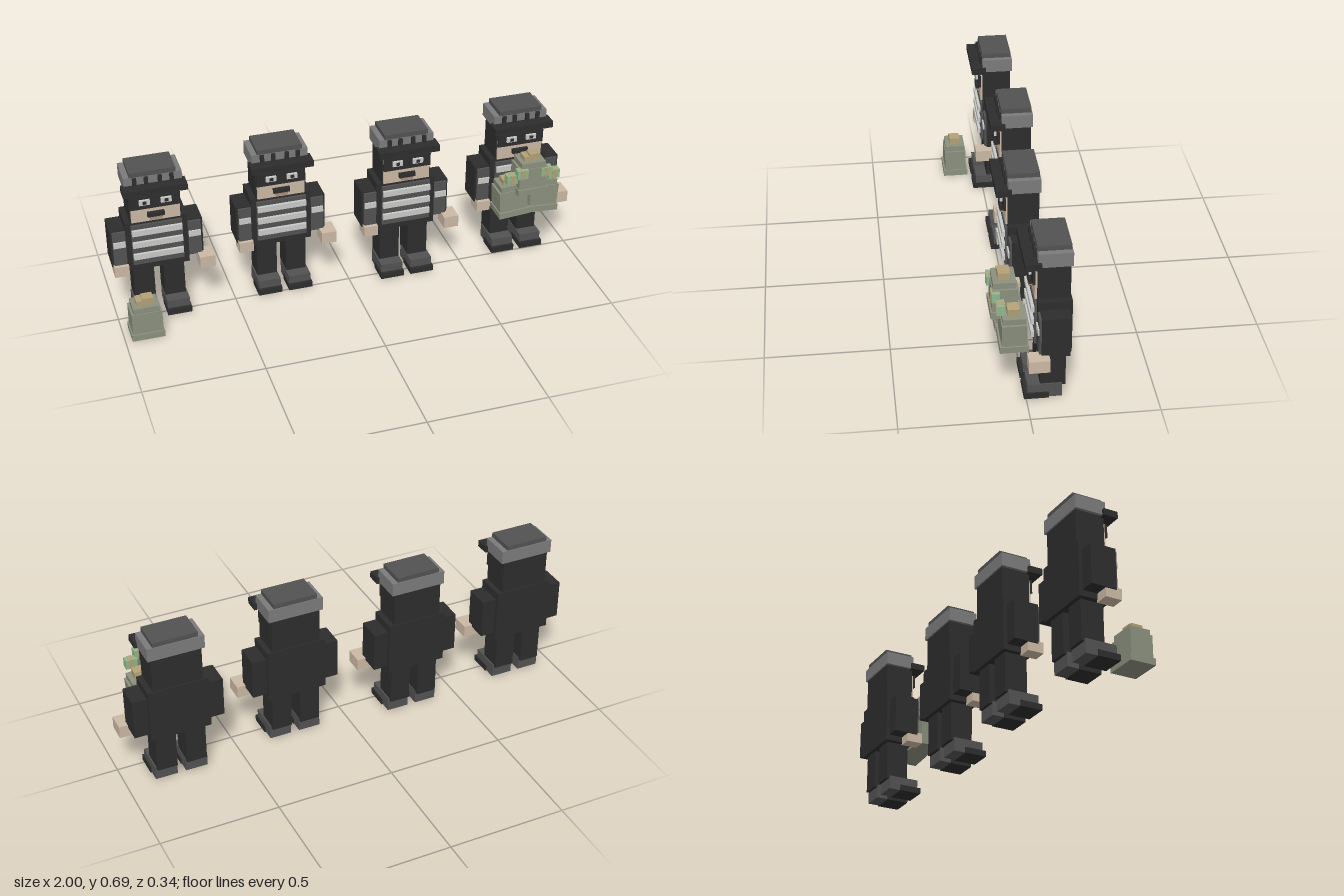
import * as THREE from 'three';

const mat = (name, color) => new THREE.MeshStandardMaterial({ name, color });

export function createModel() {
  const black = mat('black cloth', 0x2d2d2d);
  const darkGrey = mat('dark grey', 0x525252);
  const grey = mat('hat grey', 0x7b7b7b);
  const white = mat('stripe white', 0xc9cbc8);
  const skin = mat('skin', 0xcbb8a4);
  const lip = mat('lip', 0xa88f78);
  const sack = mat('sack', 0x8b907e);
  const gold = mat('gold', 0xb3a177);
  const cash = mat('cash green', 0x90b68c);

  // box from its extents on each axis
  const box = (parent, name, m, x0, x1, y0, y1, z0, z1) => {
    const mesh = new THREE.Mesh(new THREE.BoxGeometry(x1 - x0, y1 - y0, z1 - z0), m);
    mesh.position.set((x0 + x1) / 2, (y0 + y1) / 2, (z0 + z1) / 2);
    mesh.name = name;
    parent.add(mesh);
    return mesh;
  };
  // box centred on x = 0
  const wide = (parent, name, m, w, ...yz) => box(parent, name, m, -w, w, ...yz);
  // the same box on one side
  const side = (parent, name, m, s, a, b, ...yz) =>
    box(parent, name, m, Math.min(s * a, s * b), Math.max(s * a, s * b), ...yz);

  function createRobber() {
    const g = new THREE.Group();

    // torso and striped shirt
    wide(g, 'torso', black, 0.128, 0.23, 0.46, -0.167, -0.037);
    wide(g, 'shirtFront', darkGrey, 0.105, 0.26, 0.445, -0.04, -0.027);
    for (const y of [0.29, 0.346, 0.402])
      wide(g, 'shirtStripe', white, 0.103, y, y + 0.025, -0.03, -0.015);

    // head and masked face
    wide(g, 'head', black, 0.105, 0.46, 0.61, -0.162, -0.037);
    wide(g, 'face', skin, 0.1, 0.46, 0.58, -0.04, -0.028);
    wide(g, 'mask', black, 0.102, 0.523, 0.58, -0.03, -0.02);
    wide(g, 'moustache', black, 0.035, 0.484, 0.504, -0.03, -0.014);
    wide(g, 'mouth', lip, 0.025, 0.471, 0.484, -0.03, -0.014);

    // hat
    wide(g, 'hatBand', grey, 0.118, 0.607, 0.665, -0.168, -0.037);
    wide(g, 'hatTop', darkGrey, 0.094, 0.665, 0.685, -0.165, -0.037);
    wide(g, 'hatBrim', black, 0.13, 0.602, 0.63, -0.05, 0.012);
    for (const x of [-0.075, -0.028, 0.028, 0.075])
      box(g, 'hatStud', black, x - 0.008, x + 0.008, 0.632, 0.663, -0.038, -0.026);

    for (const s of [-1, 1]) {
      side(g, 'eye', white, s, 0.022, 0.066, 0.546, 0.568, -0.022, -0.01);
      box(g, 'pupil', black, s * 0.044 - 0.008, s * 0.044 + 0.008, 0.55, 0.564, -0.012, -0.008);
      // arms
      side(g, 'arm', black, s, 0.125, 0.19, 0.255, 0.425, -0.153, -0.045);
      side(g, 'sleeveFront', darkGrey, s, 0.128, 0.182, 0.262, 0.42, -0.047, -0.036);
      side(g, 'sleeveStripe', white, s, 0.13, 0.18, 0.35, 0.376, -0.042, -0.03);
      // legs and shoes
      side(g, 'leg', black, s, 0.02, 0.106, 0.06, 0.235, -0.15, -0.052);
      side(g, 'shoe', darkGrey, s, 0.018, 0.112, 0.01, 0.07, -0.137, -0.003);
      side(g, 'shoeToe', black, s, 0.015, 0.117, 0.008, 0.034, -0.086, 0.01);
    }
    // hands
    box(g, 'leftHand', skin, 0.163, 0.227, 0.213, 0.265, -0.073, 0.007);
    box(g, 'rightHand', skin, -0.185, -0.125, 0.218, 0.265, -0.09, -0.02);
    return g;
  }

  // money sack standing on its origin
  function createSack() {
    const g = new THREE.Group();
    wide(g, 'sackBase', sack, 0.068, 0, 0.028, -0.055, 0.055);
    wide(g, 'sackBody', sack, 0.063, 0.003, 0.123, -0.048, 0.048);
    wide(g, 'sackNeck', sack, 0.054, 0.123, 0.148, -0.044, 0.044);
    box(g, 'goldBarLow', gold, -0.036, 0.02, 0.146, 0.17, -0.024, 0.024);
    box(g, 'goldBarHigh', gold, -0.012, 0.034, 0.146, 0.179, -0.018, 0.024);
    return g;
  }

  const model = new THREE.Group();
  model.name = 'robberGang';
  [[-0.813, 0.035], [-0.286, 0.01], [0.245, 0.047], [0.77, 0]].forEach(([x, z], i) => {
    const robber = createRobber();
    robber.name = 'robber' + (i + 1);
    robber.position.set(x, 0, z);
    model.add(robber);
  });

  // one sack on the ground, three carried by the last robber
  [
    [-0.904, 0, 0.115, 0],
    [0.707, 0.25, 0.054, 0.07],
    [0.837, 0.25, 0.05, -0.07],
    [0.775, 0.362, 0.078, 0],
  ].forEach(([x, y, z, tilt]) => {
    const s = createSack();
    s.name = 'moneySack';
    s.position.set(x, y, z);
    s.rotation.z = tilt;
    model.add(s);
  });

  // loose bundles of cash
  [
    [0.683, 0.44, 0.105], [0.875, 0.435, 0.1],
    [0.722, 0.468, 0.122], [0.832, 0.462, 0.115],
  ].forEach(([x, y, z]) => {
    const bundle = new THREE.Group();
    bundle.name = 'cashBundle';
    bundle.position.set(x, y, z);
    wide(bundle, 'notes', cash, 0.024, -0.02, 0.02, -0.016, 0.016);
    wide(bundle, 'bundleBand', gold, 0.009, -0.021, 0.021, -0.017, 0.018);
    model.add(bundle);
  });
  return model;
}
